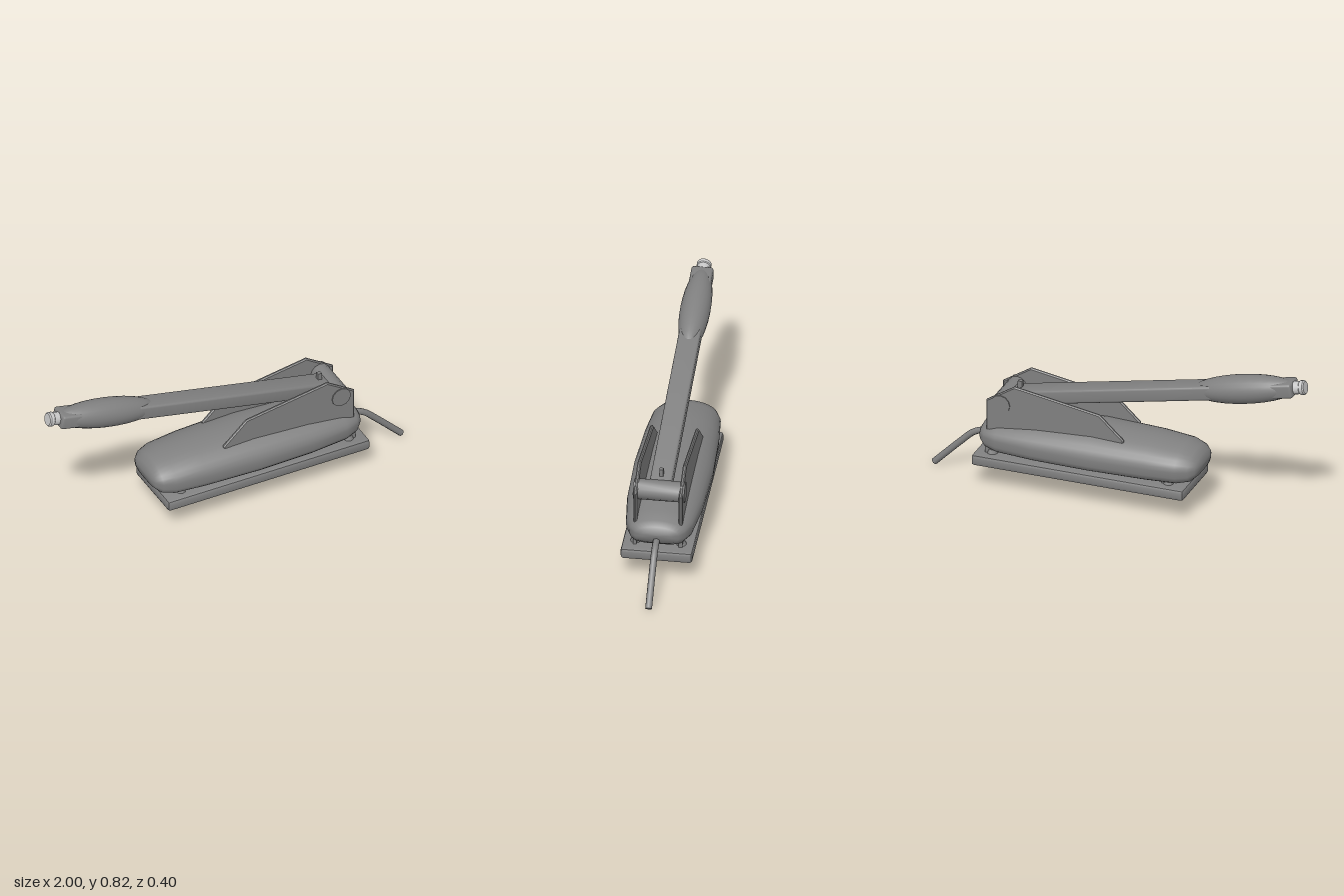
import * as THREE from 'three';
import { RoundedBoxGeometry } from 'three/addons/geometries/RoundedBoxGeometry.js';
import { toCreasedNormals } from 'three/addons/utils/BufferGeometryUtils.js';

// Smooth closed hull lofted through stations of [x, halfWidth, top, bottom]
function loftHull(stations, midY, sides) {
  const pos = [], idx = [];
  const pow = (v, e) => Math.sign(v) * Math.abs(v) ** e;
  stations.forEach(([x, w, top, bottom]) => {
    for (let j = 0; j < sides; j++) {
      const a = (j / sides) * Math.PI * 2, c = Math.cos(a), s = Math.sin(a);
      const upper = s >= 0, e = upper ? 1 : 0.6;
      pos.push(x, midY + pow(s, e) * (upper ? top - midY : midY - bottom), w * pow(c, e));
    }
  });
  for (let i = 0; i < stations.length - 1; i++) {
    for (let j = 0; j < sides; j++) {
      const k = (j + 1) % sides;
      const a = i * sides + j, b = a + sides, c = (i + 1) * sides + k, d = i * sides + k;
      idx.push(a, b, c, a, c, d);
    }
  }
  const geo = new THREE.BufferGeometry();
  geo.setAttribute('position', new THREE.Float32BufferAttribute(pos, 3));
  geo.setIndex(idx);
  geo.computeVertexNormals();
  return geo;
}

export function createModel() {
  const root = new THREE.Group();
  const grey = new THREE.MeshStandardMaterial({ color: 0x808080 });
  grey.name = 'mid grey';
  const light = new THREE.MeshStandardMaterial({ color: 0xc8c8c8 });
  light.name = 'light grey';

  const add = (name, geo, x = 0, y = 0, z = 0, parent = root, mat = grey) => {
    const mesh = new THREE.Mesh(geo, mat);
    mesh.name = name;
    mesh.position.set(x, y, z);
    parent.add(mesh);
    return mesh;
  };

  // Base plate with chamfered edges
  add('basePlate', toCreasedNormals(new RoundedBoxGeometry(1.13, 0.058, 0.36, 1, 0.014), 0.5), 0.155, 0.151, 0);

  // Rounded body with a flat underside
  add('body', loftHull([
    [-0.46, 0, 0.27, 0.27],
    [-0.458, 0.085, 0.29, 0.25],
    [-0.448, 0.115, 0.315, 0.222],
    [-0.42, 0.147, 0.343, 0.196],
    [-0.36, 0.172, 0.366, 0.183],
    [-0.2, 0.187, 0.383, 0.18],
    [0.1, 0.2, 0.394, 0.18],
    [0.4, 0.191, 0.376, 0.18],
    [0.6, 0.168, 0.352, 0.182],
    [0.67, 0.14, 0.333, 0.195],
    [0.7, 0.11, 0.312, 0.22],
    [0.713, 0.075, 0.288, 0.25],
    [0.715, 0, 0.27, 0.27],
  ], 0.27, 32));

  // Mounts between body and base
  for (const x of [-0.31, 0.63]) {
    for (const z of [-0.115, 0.115]) {
      add('mountFoot', new THREE.CylinderGeometry(0.018, 0.028, 0.025, 8), x, 0.19, z);
      add('mountPin', new THREE.BoxGeometry(0.05, 0.035, 0.018), x + 0.01, 0.197, z);
    }
  }

  // Side plates carrying the pivot
  const outline = new THREE.Shape([
    [-0.065, 0.31], [0.655, 0.31], [0.655, 0.468], [0.51, 0.56], [0.06, 0.486], [-0.065, 0.37],
  ].map(([x, y]) => new THREE.Vector2(x, y)));
  const plate = new THREE.ExtrudeGeometry(outline, {
    depth: 0.007, bevelEnabled: true, bevelThickness: 0.006, bevelSize: 0.006, bevelSegments: 1,
  }).translate(0, 0, -0.0035);
  for (const side of [-1, 1]) add('sidePlate', plate, 0, 0, side * 0.114);

  // Pivot bar and vertical locking pin
  const bar = new THREE.CylinderGeometry(0.052, 0.052, 0.258, 12).rotateX(Math.PI / 2);
  add('pivotBar', toCreasedNormals(bar, 0.6), 0.585, 0.457, 0);
  add('lockingPin', new THREE.BoxGeometry(0.022, 0.175, 0.02), 0.525, 0.458, 0);

  // Tilted arm, with its parts laid along the local x axis
  const arm = new THREE.Group();
  arm.name = 'armAssembly';
  arm.position.set(-0.19, 0.617, 0);
  arm.rotation.z = -0.202;
  root.add(arm);
  add('arm', toCreasedNormals(new RoundedBoxGeometry(1.53, 0.076, 0.11, 2, 0.013), 0.5), 0, 0, 0, arm);
  add('grip', new THREE.SphereGeometry(1, 24, 16).rotateZ(Math.PI / 2).scale(0.288, 0.075, 0.076),
    -0.49, 0, 0, arm);

  // Light stepped tip
  const tip = new THREE.LatheGeometry([
    [0, -0.04], [0.033, -0.04], [0.033, 0.012], [0.037, 0.016], [0.037, 0.034], [0.031, 0.04], [0, 0.04],
  ].map(([x, y]) => new THREE.Vector2(x, y)), 16).rotateZ(Math.PI / 2);
  add('tip', toCreasedNormals(tip, 0.6), -0.783, 0, 0, arm, light);

  // Cord bending down to the ground
  const path = new THREE.CatmullRomCurve3([
    [0.67, 0.238], [0.73, 0.235], [0.78, 0.212], [0.84, 0.157], [0.985, 0.013],
  ].map(([x, y]) => new THREE.Vector3(x, y, 0)));
  add('cord', new THREE.TubeGeometry(path, 20, 0.017, 8), 0, 0, 0);
  const end = add('cordEnd', new THREE.CircleGeometry(0.017, 8), 0.985, 0.013, 0);
  end.lookAt(end.position.clone().add(path.getTangent(1)));

  return root;
}
